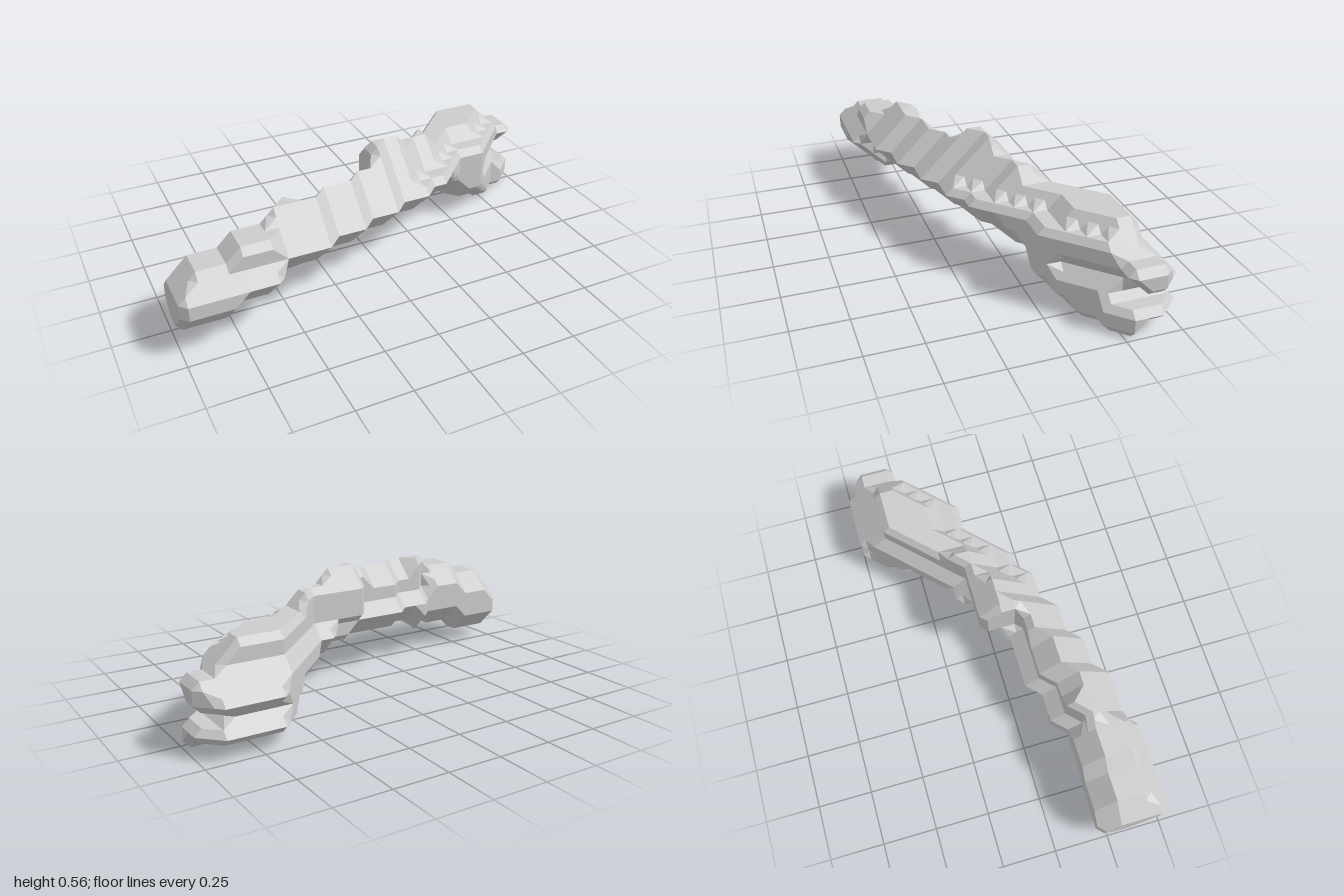
import * as THREE from 'three';
import { ConvexGeometry } from 'three/addons/geometries/ConvexGeometry.js';

// Steps along the bent log: first column, back, front, bottom, top (in grid cells)
const STEPS = [
  [0, 11, 15, 1, 4], [1, 11, 15, 1, 5], [4, 11, 15, 2, 6], [7, 11, 14, 2, 7],
  [8, 10, 14, 2, 7], [9, 10, 14, 3, 7], [11, 9, 13, 3, 7], [14, 9, 12, 3, 7],
  [16, 7, 12, 3, 8], [17, 7, 11, 3, 8], [19, 6, 11, 3, 7], [20, 6, 10, 3, 7],
  [21, 5, 10, 2, 7], [22, 4, 9, 2, 6], [23, 3, 8, 2, 6], [24, 2, 7, 1, 6],
  [25, 1, 7, 1, 6], [26, 0, 7, 1, 6], [27, 0, 6, 0, 6], [28, 0, 5, 0, 6],
  [29, 0, 4, 0, 5], [30, 0, 4, 0, 4], [31, 1, 3, 0, 4],
];
// Set-back of the upper front at each height: thick end, middle, ledged diagonal
const SETBACK = [
  [0, 0, 0, 0, 0, 1, 1, 0, 0],
  [0, 0, 0, 0, 0, 0, 1, 2, 3],
  [0, 0, 0, 0, 0, 0, 2, 3, 0],
];
const NX = 32, NY = 9, NZ = 16, CELL = 1 / 16;

// Is the grid point inside the log?
function solid(i, j, k) {
  if (i < 0 || i >= NX) return false;
  const [, back, front, bottom, top] = STEPS.findLast((s) => s[0] <= i);
  if (j < bottom || j > top || k < back || k > front) return false;
  const b = k - back, f = front - k, d = j - bottom, u = top - j;
  // Front: stepped top and bevelled underside
  if (f < SETBACK[i < 7 ? 0 : i < 19 ? 1 : 2][j]) return false;
  if (i > 6 && i < 23 ? f < 5 - j : i < 25 && f + d < 2) return false;
  if (i >= 21 && j < 3 && k > 5 + j) return false;
  // Back: bevelled top and underside, with a ledge below the crown
  if (i < 25 && (b + u < 1 || b + d < 1)) return false;
  if (i > 6 && i < 25 && (i < 16 || i > 18) && j > 4 && b < 1) return false;
  if (i > 8 && i < 14 && j === 7 && b < 2) return false;
  if (i < 9 && j < 3 && k < 13 - j) return false;
  // Knot on the back, overhanging the log
  if (i > 15 && i < 19 && j < 5 && b < 2) return false;
  // Forked end: sloping back, underside and the gap between the prongs
  if (i >= 25 && k < Math.min(j - 3, 2)) return false;
  if (i >= 25 && j === 0 && k < 3) return false;
  if (i >= 25 && j === 2 && (k === 0 || i >= 30)) return false;
  if (i >= 27 && j === 3 && f < 1) return false;
  if (i >= 30 && j >= 3 && k > j - 1) return false;
  return true;
}

// Faceted skin: in each cell, the hull of the solid corners and the cut edge midpoints
function skinGeometry() {
  const out = [];
  const corners = [];
  for (let n = 0; n < 8; n++) corners.push([n & 1, (n >> 1) & 1, n >> 2]);
  for (let i = -1; i < NX; i++)
    for (let j = -1; j < NY; j++)
      for (let k = -1; k < NZ; k++) {
        const inside = corners.map(([a, b, c]) => solid(i + a, j + b, k + c));
        if (!inside.includes(true) || !inside.includes(false)) continue;
        const points = [];
        corners.forEach((c, n) => {
          if (!inside[n]) return;
          points.push(new THREE.Vector3(...c));
          for (const bit of [1, 2, 4]) {
            if (inside[n ^ bit]) continue;
            const e = corners[n ^ bit];
            points.push(new THREE.Vector3(...c.map((v, q) => (v + e[q]) / 2)));
          }
        });
        const p = new ConvexGeometry(points).getAttribute('position');
        for (let t = 0; t < p.count; t += 3) {
          const tri = [0, 1, 2].map((q) => new THREE.Vector3().fromBufferAttribute(p, t + q));
          // Faces shared with the neighbouring cell are internal
          const mid = tri[0].clone().add(tri[1]).add(tri[2]).divideScalar(3);
          if (mid.toArray().some((v) => v < 1e-4 || v > 1 - 1e-4)) continue;
          for (const v of tri)
            out.push((v.x + i - 15.5) * CELL, (v.y + j + 0.5) * CELL, (v.z + k - 7.5) * CELL);
        }
      }
  const geometry = new THREE.BufferGeometry();
  geometry.setAttribute('position', new THREE.Float32BufferAttribute(out, 3));
  geometry.computeVertexNormals();
  return geometry;
}

export function createModel() {
  const group = new THREE.Group();
  group.name = 'bentLog';
  const material = new THREE.MeshStandardMaterial({ color: 0xcccccc, flatShading: true });
  const log = new THREE.Mesh(skinGeometry(), material);
  log.name = 'forkedLog';
  group.add(log);
  return group;
}
